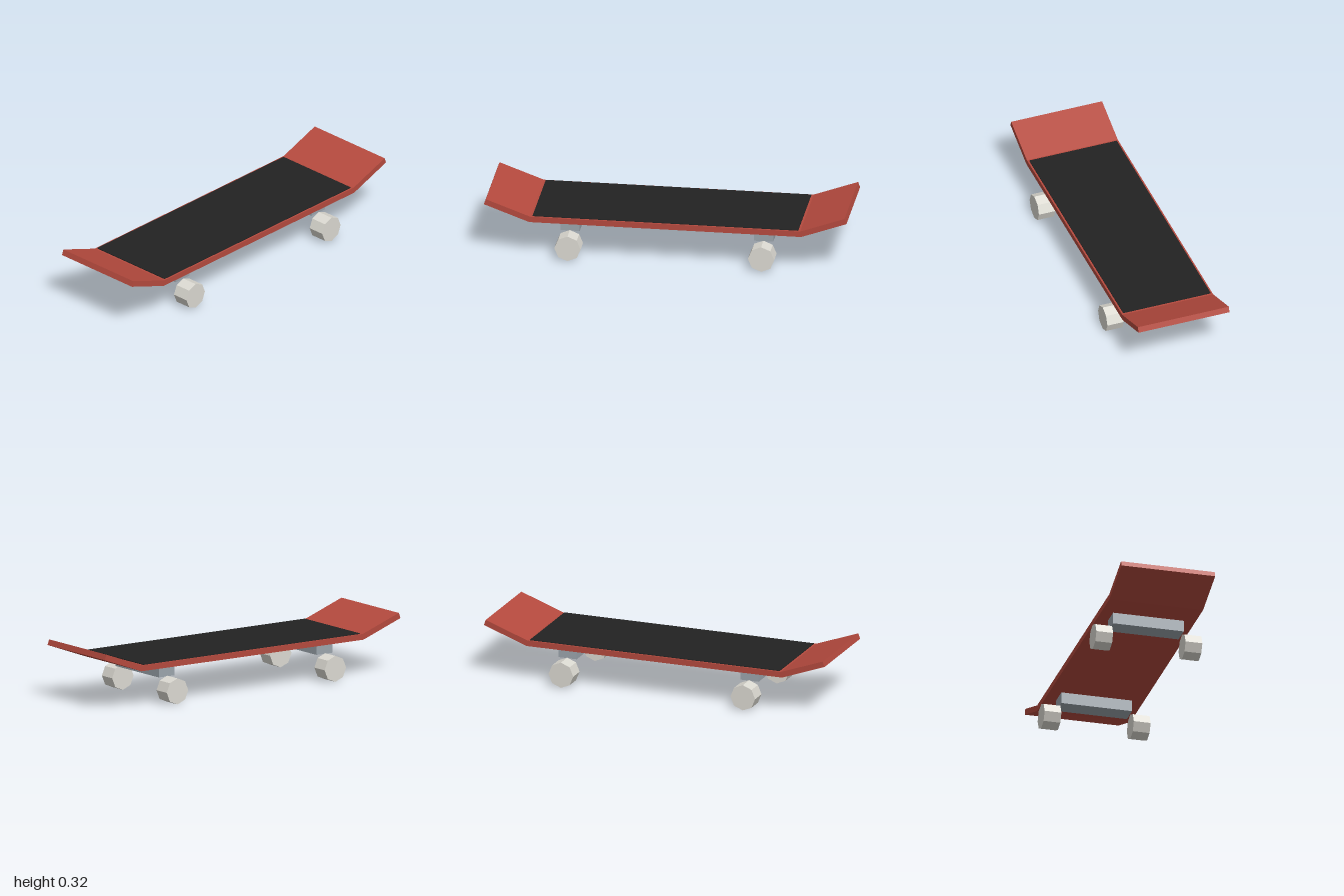
import * as THREE from 'three';

const paint = (name, color) => {
  const m = new THREE.MeshStandardMaterial({ color, flatShading: true });
  m.name = name;
  return m;
};

export function createModel() {
  const red = paint('deck red', 0xb54a3e);
  const black = paint('grip black', 0x222222);
  const steel = paint('truck grey', 0x9ca5ad);
  const cream = paint('wheel off-white', 0xdcdad2);

  const group = new THREE.Group();
  group.name = 'skateboard';
  const add = (name, geometry, material, x, y, z) => {
    const mesh = new THREE.Mesh(geometry, material);
    mesh.name = name;
    mesh.position.set(x, y, z);
    group.add(mesh);
    return mesh;
  };

  // Deck: side profile with both ends kicked up, extruded across the width
  const width = 0.53;
  const profile = new THREE.Shape([
    [-0.75, 0.204], [0.75, 0.204], [1, 0.295], [0.989, 0.325],
    [0.744, 0.236], [-0.744, 0.236], [-0.989, 0.325], [-1, 0.295],
  ].map(([z, y]) => new THREE.Vector2(z, y)));
  const deck = new THREE.ExtrudeGeometry(profile, { depth: width, bevelEnabled: false });
  deck.translate(0, 0, -width / 2).rotateY(-Math.PI / 2);
  add('deck', deck, red, 0, 0, 0);

  // Grip sheet on the flat of the deck
  add('gripTape', new THREE.BoxGeometry(0.51, 0.005, 1.465), black, 0, 0.2375, 0);

  // Trucks and eight-sided wheels with a corner at the top
  const truck = new THREE.BoxGeometry(0.4, 0.064, 0.107);
  const wheel = new THREE.CylinderGeometry(0.0725, 0.0725, 0.095, 8).rotateZ(Math.PI / 2);
  for (const [end, z] of [['front', 0.534], ['back', -0.534]]) {
    add(end + 'Truck', truck, steel, 0, 0.172, z);
    for (const [side, x] of [['Left', 0.2525], ['Right', -0.2525]]) {
      add(end + side + 'Wheel', wheel, cream, x, 0.0725, z);
    }
  }
  return group;
}
